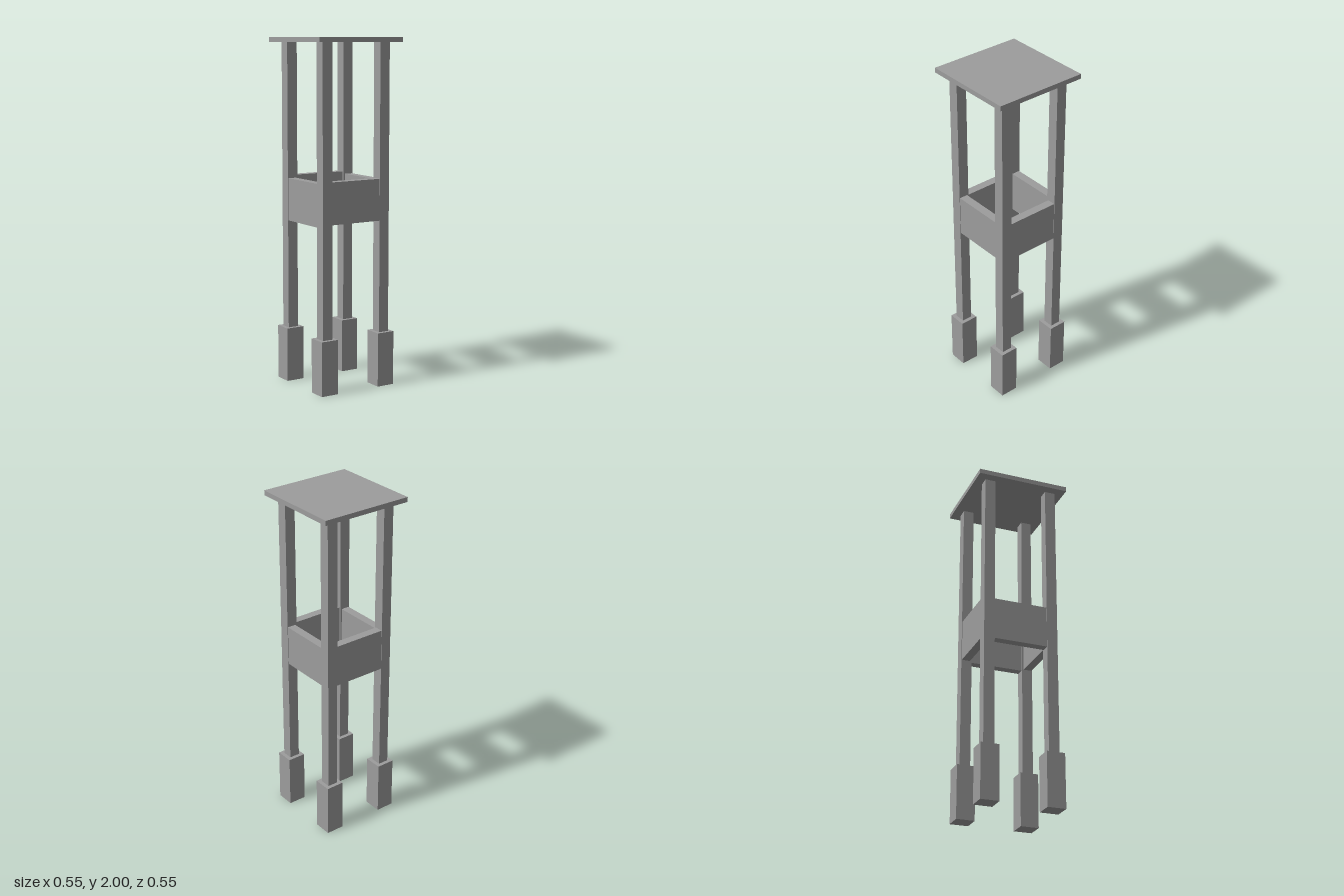
import * as THREE from 'three';

const material = new THREE.MeshStandardMaterial({ color: 0x9d9d9d, flatShading: true });

// Box placed by its centre in x and z, and by its bottom and top in y
function box(name, width, depth, bottom, top, x = 0, z = 0) {
  const mesh = new THREE.Mesh(new THREE.BoxGeometry(width, top - bottom, depth), material);
  mesh.name = name;
  mesh.position.set(x, (bottom + top) / 2, z);
  return mesh;
}

export function createModel() {
  const model = new THREE.Group();
  model.name = 'tower';

  const legCentre = 0.19, legWidth = 0.063, footWidth = 0.108;
  const footTop = 0.315, roofBottom = 1.972;

  // Four posts, each standing on a square footing
  for (const [sx, side] of [[1, 'Left'], [-1, 'Right']]) {
    for (const [sz, end] of [[1, 'front'], [-1, 'back']]) {
      const x = sx * legCentre, z = sz * legCentre;
      model.add(box(`${end}${side}Post`, legWidth, legWidth, footTop, roofBottom, x, z));
      model.add(box(`${end}${side}Footing`, footWidth, footWidth, 0, footTop, x, z));
    }
  }

  // Railing panels between the posts, set back a hair from their outer faces
  const span = 2 * legCentre - legWidth, thick = 0.05, recess = 0.003;
  const offset = legCentre + legWidth / 2 - thick / 2 - recess;
  model.add(box('frontPanel', span, thick, 0.965, 1.205, 0, offset));
  model.add(box('backPanel', span, thick, 0.965, 1.211, 0, -offset));
  model.add(box('leftPanel', thick, span, 0.96, 1.197, offset, 0));
  model.add(box('rightPanel', thick, span, 0.949, 1.195, -offset, 0));

  // Flat roof
  model.add(box('roof', 0.549, 0.549, roofBottom, 2));
  return model;
}
